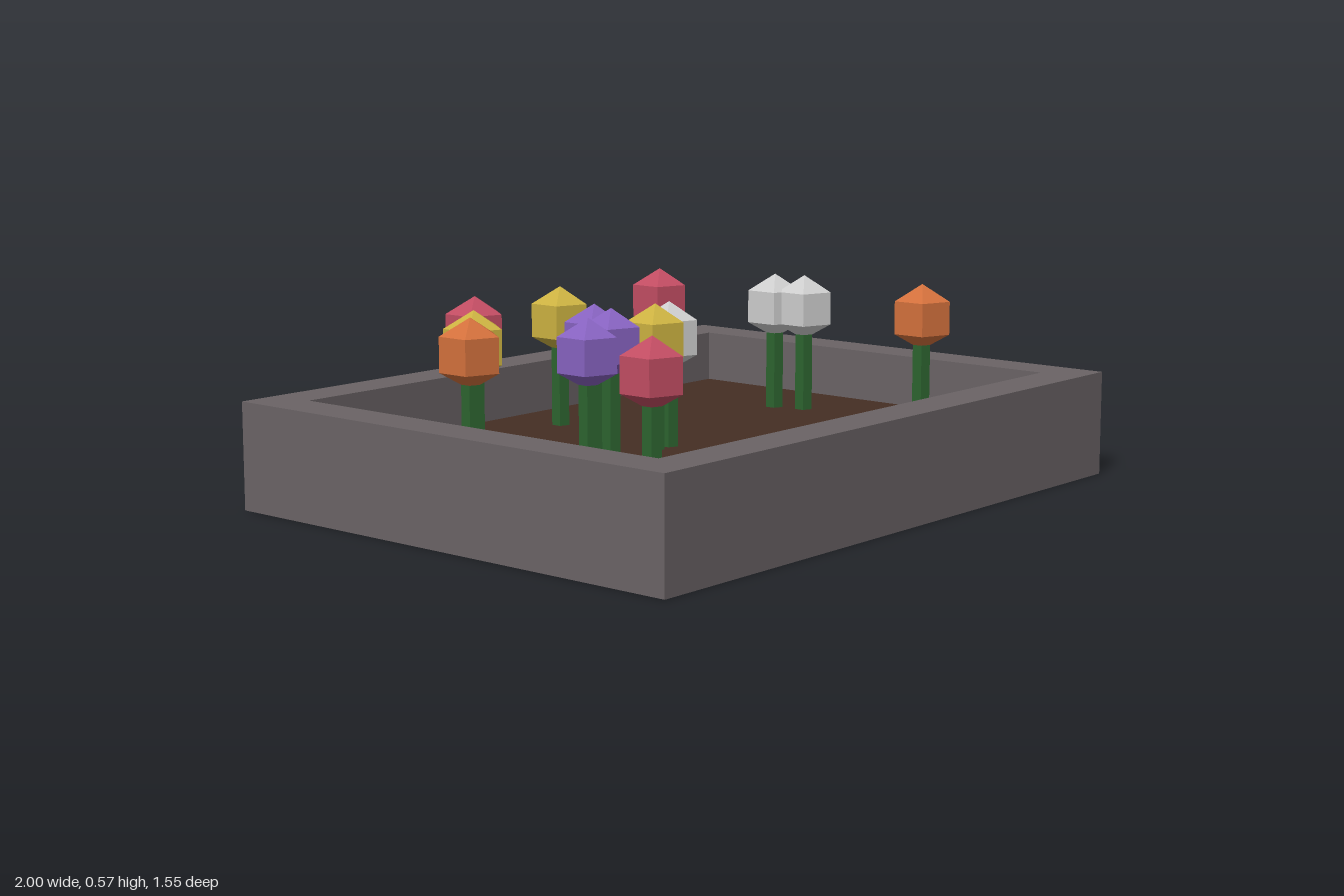
import * as THREE from 'three';

const mat = (name, color, flatShading = false) => {
  const m = new THREE.MeshStandardMaterial({ color, flatShading });
  m.name = name;
  return m;
};

function rectangle(Path, hx, hz) {
  const p = new Path();
  p.moveTo(-hx, -hz);
  p.lineTo(hx, -hz);
  p.lineTo(hx, hz);
  p.lineTo(-hx, hz);
  p.closePath();
  return p;
}

export function createModel() {
  const group = new THREE.Group();
  group.name = 'flowerBed';

  const stone = mat('stone', 0x6a6365);
  const earth = mat('earth', 0x452e23);
  const green = mat('stemGreen', 0x2c632f, true);
  const petals = {
    crimson: mat('crimson', 0xc04c62, true),
    yellow: mat('yellow', 0xcbb141, true),
    orange: mat('orange', 0xd2703c, true),
    purple: mat('purple', 0x8662bf, true),
    white: mat('white', 0xcccccc, true),
  };

  const add = (parent, name, geometry, material, x = 0, y = 0, z = 0) => {
    const mesh = new THREE.Mesh(geometry, material);
    mesh.name = name;
    mesh.position.set(x, y, z);
    parent.add(mesh);
    return mesh;
  };

  // Stone frame, open in the middle
  const height = 0.31, soilTop = 0.155;
  const outline = rectangle(THREE.Shape, 1, 0.777);
  outline.holes.push(rectangle(THREE.Path, 0.87, 0.645));
  const frame = new THREE.ExtrudeGeometry(outline, { depth: height, bevelEnabled: false });
  frame.rotateX(-Math.PI / 2);
  add(group, 'frame', frame, stone);

  // Soil filling the lower half
  add(group, 'soil', new THREE.BoxGeometry(1.74, soilTop, 1.29), earth, 0, soilTop / 2, 0);

  // Flowers: five-sided stem and head, one corner pointing to +x
  const headY = 0.472;
  const stem = new THREE.CylinderGeometry(0.027, 0.027, headY - soilTop, 5);
  stem.rotateY(Math.PI / 2);
  const head = new THREE.SphereGeometry(0.099, 5, 3);
  head.rotateY(Math.PI);

  const flowers = [
    ['crimson', -0.39, -0.47], ['crimson', 0.47, -0.513], ['crimson', -0.652, 0.435],
    ['yellow', -0.065, -0.44], ['yellow', -0.605, -0.258], ['yellow', -0.175, 0.03],
    ['orange', -0.716, -0.16], ['orange', 0.673, 0.348],
    ['purple', -0.29, -0.097], ['purple', -0.327, 0], ['purple', -0.513, 0.084],
    ['white', -0.113, 0.028], ['white', 0.593, -0.148], ['white', 0.62, -0.055],
  ];
  for (const [color, x, z] of flowers) {
    const flower = new THREE.Group();
    flower.name = color + 'Flower';
    flower.position.set(x, 0, z);
    add(flower, 'stem', stem, green, 0, (headY + soilTop) / 2, 0);
    add(flower, 'flowerHead', head, petals[color], 0, headY, 0);
    group.add(flower);
  }
  return group;
}
